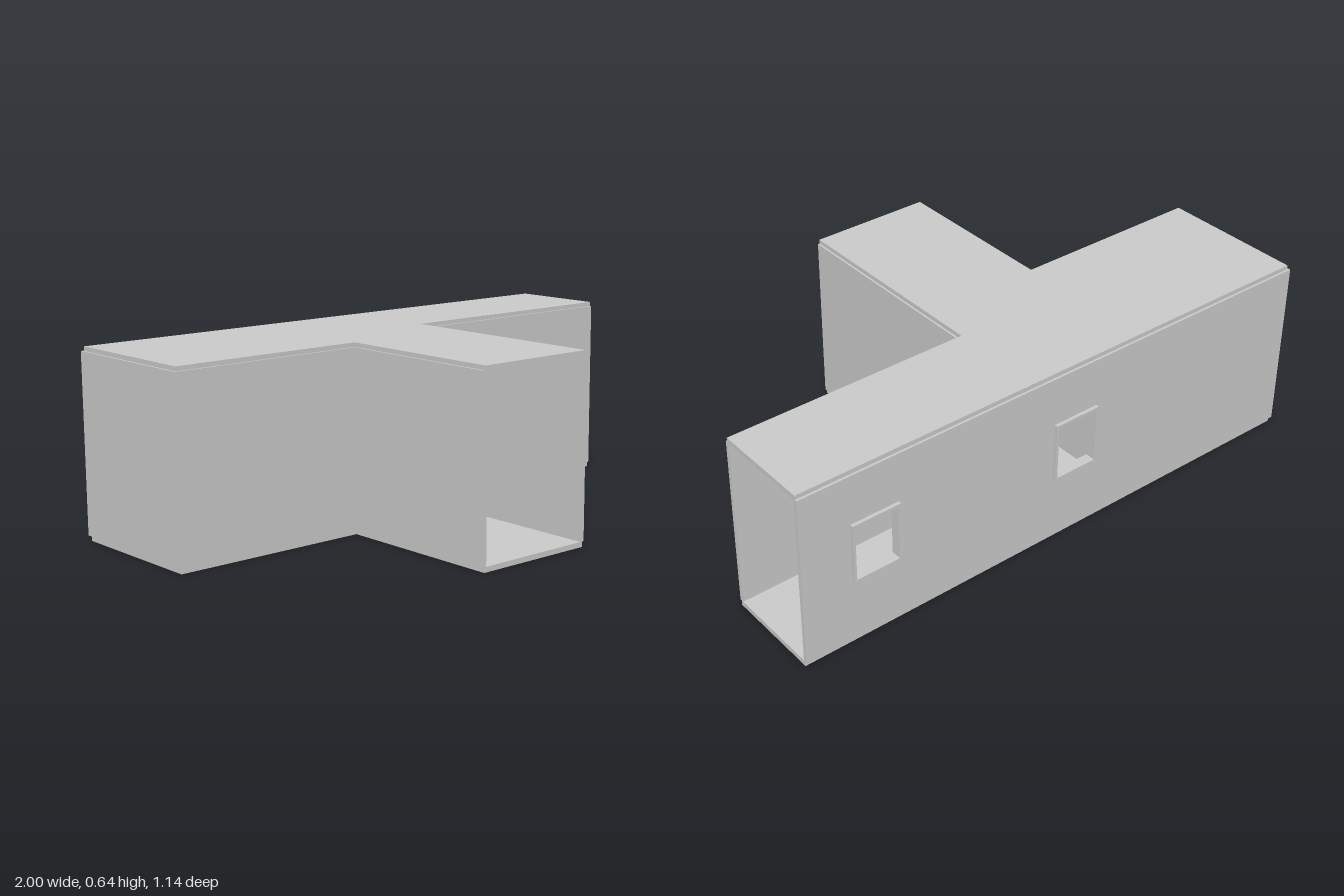
import * as THREE from 'three';

const mat = new THREE.MeshStandardMaterial({ color: 0xcccccc, flatShading: true, side: THREE.DoubleSide });
const WALL_Y0 = 0.018, WALL_Y1 = 0.625, T = 0.015;

function add(parent, name, geometry) {
  const mesh = new THREE.Mesh(geometry, mat);
  mesh.name = name;
  parent.add(mesh);
  return mesh;
}

// Box given by its two extreme corners
function box(parent, name, [x0, y0, z0], [x1, y1, z1]) {
  const mesh = add(parent, name, new THREE.BoxGeometry(x1 - x0, y1 - y0, z1 - z0));
  mesh.position.set((x0 + x1) / 2, (y0 + y1) / 2, (z0 + z1) / 2);
  return mesh;
}

const rectPoints = ([u0, v0, u1, v1]) =>
  [[u0, v0], [u1, v0], [u1, v1], [u0, v1]].map(([u, v]) => new THREE.Vector2(u, v));

// Rectangular panel with rectangular holes, extruded along +z
function panel(rect, holes, depth) {
  const shape = new THREE.Shape(rectPoints(rect));
  for (const h of holes) shape.holes.push(new THREE.Path(rectPoints(h).reverse()));
  return new THREE.ExtrudeGeometry(shape, { depth, bevelEnabled: false });
}

export function createModel() {
  const group = new THREE.Group();
  group.name = 'corridorJunction';

  // Floor and ceiling share one T-shaped outline, set in from the wall faces
  const outline = [[-0.993, -0.552], [1, -0.552], [1, -0.207], [0.133, -0.207],
    [0.133, 0.57], [-0.303, 0.57], [-0.303, -0.037], [-0.993, -0.037]];
  const slab = new THREE.ExtrudeGeometry(
    new THREE.Shape(outline.map(([x, z]) => new THREE.Vector2(x, -z))),
    { depth: 0.018, bevelEnabled: false });
  slab.rotateX(-Math.PI / 2);
  add(group, 'floor', slab);
  add(group, 'ceiling', slab).position.y = 0.622;

  // Plain walls
  const walls = [
    ['leftRoomEndWall', -1, -0.56, -1 + T, -0.03],
    ['leftRoomFrontWall', -1 + T, -0.03 - T, -0.31, -0.03],
    ['stemRightWall', 0.125, -0.2 - T, 0.14, 0.57],
    ['rightArmFrontWall', 0.14, -0.2 - T, 1, -0.2],
  ];
  for (const [name, x0, z0, x1, z1] of walls)
    box(group, name, [x0, WALL_Y0, z0], [x1, WALL_Y1, z1]);

  // Back wall with two framed window openings
  const windows = [[-0.13, 0.24, 0.045, 0.453], [0.65, 0.24, 0.825, 0.453]];
  const inset = ([a, b, c, d], m) => [a + m, b + m, c - m, d - m];
  add(group, 'backWall', panel([-1 + T, WALL_Y0, 1, WALL_Y1], windows.map(w => inset(w, 0.005)), T))
    .position.z = -0.56;
  for (const w of windows)
    add(group, 'windowFrame', panel(w, [inset(w, 0.009)], 0.037)).position.z = -0.572;

  // Partition continuing the stem wall, with the doorway cut out
  const doorway = [-0.39, 0.03, -0.183, 0.427];
  const partition = add(group, 'partitionWall',
    panel([-0.56 + T, WALL_Y0, 0.57, WALL_Y1], [doorway], T));
  partition.rotation.y = -Math.PI / 2;
  partition.position.x = -0.295;
  // Wall strip under the doorway is masked by the door and its sill
  const door = new THREE.Group();
  door.name = 'door';
  group.add(door);
  const fx0 = -0.319, fx1 = -0.286;
  box(door, 'doorPost', [fx0, WALL_Y0, -0.395], [fx1, 0.432, -0.378]);
  box(door, 'doorPost', [fx0, WALL_Y0, -0.195], [fx1, 0.432, -0.178]);
  box(door, 'doorHeader', [fx0, 0.42, -0.378], [fx1, 0.432, -0.195]);
  box(door, 'doorLeaf', [-0.312, 0.021, -0.376], [-0.289, 0.418, -0.197]);

  // Lever handle on each side of the leaf
  for (const [face, s] of [[-0.289, 1], [-0.312, -1]]) {
    const lever = new THREE.CatmullRomCurve3([
      [0, 0.226, -0.215], [0.009, 0.226, -0.217], [0.012, 0.226, -0.225], [0.012, 0.228, -0.25],
    ].map(([x, y, z]) => new THREE.Vector3(face + s * x, y, z)));
    add(door, 'doorHandle', new THREE.TubeGeometry(lever, 12, 0.0018, 8));
  }
  return group;
}
